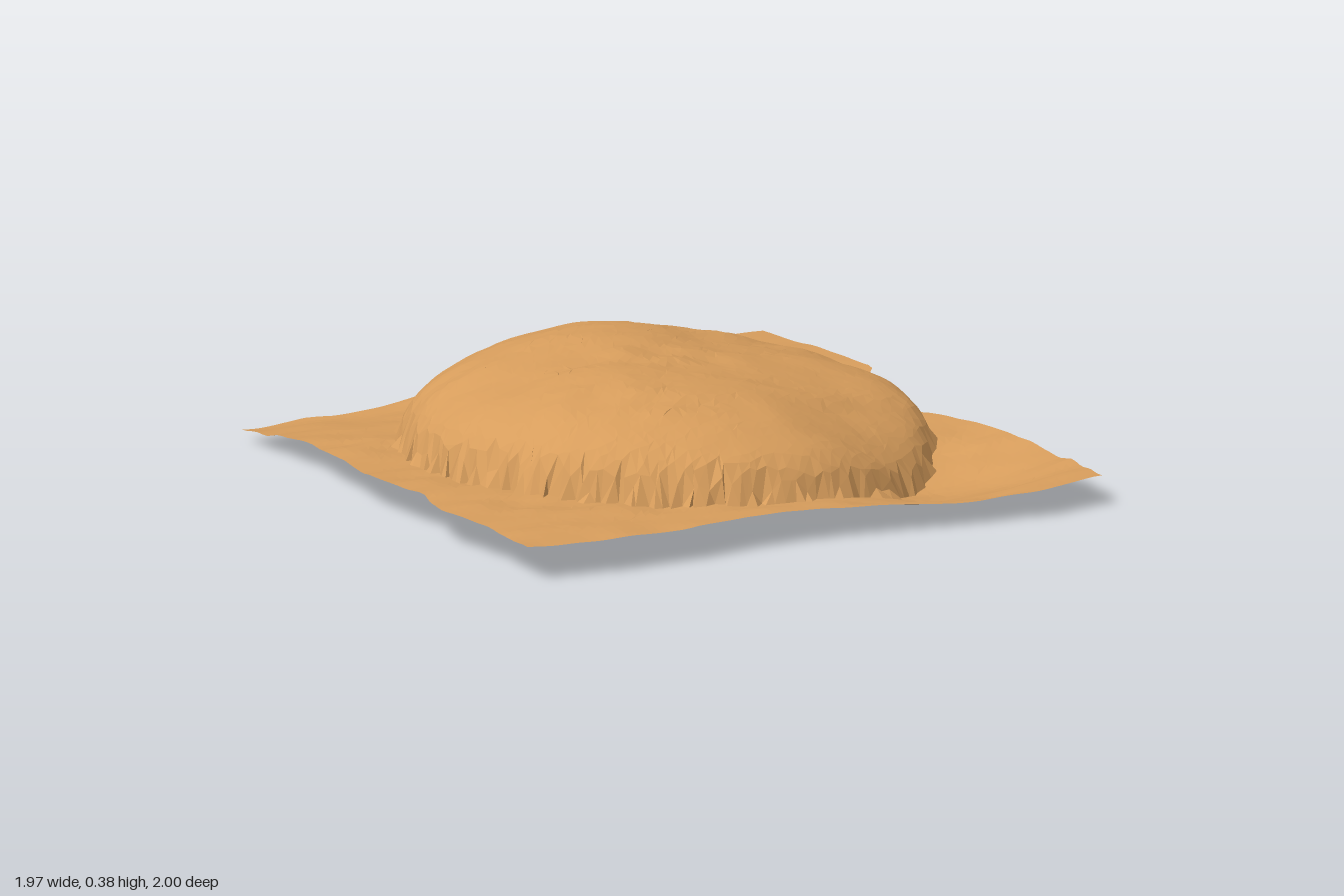
import * as THREE from 'three';

const CELLS = 64;
const DOME = { x: 0.01, z: -0.005, radius: 0.79 };

// Sheet outline: [position along the edge, offset of the edge]
const BACK = [[-0.95, -0.875], [-0.76, -0.91], [-0.66, -0.89], [-0.4, -0.89], [-0.1, -0.94], [0.2, -0.96], [0.5, -1], [0.92, -0.93]];
const FRONT = [[-0.95, 0.95], [-0.7, 0.97], [-0.45, 0.965], [-0.2, 0.93], [0, 0.92], [0.2, 0.94], [0.47, 0.975], [0.76, 0.995], [0.97, 0.96]];
const LEFT = [[-0.87, -0.95], [-0.5, -0.935], [0, -0.98], [0.3, -0.95], [0.45, -0.99], [0.7, -0.95], [0.95, -0.95]];
const RIGHT = [[-0.93, 0.82], [-0.68, 0.91], [-0.5, 0.965], [-0.35, 0.88], [-0.1, 0.82], [0.05, 0.845], [0.2, 0.925], [0.5, 0.98], [0.7, 0.99], [0.95, 0.97]];

// Linear look-up in an edge table
function edgeAt(table, t) {
  if (t <= table[0][0]) return table[0][1];
  for (let i = 1; i < table.length; i++) {
    const [t0, a] = table[i - 1], [t1, b] = table[i];
    if (t <= t1) return a + (b - a) * (t - t0) / (t1 - t0);
  }
  return table[table.length - 1][1];
}

// Repeatable value noise in the range -1 to 1
function hash(i, j) {
  const s = Math.sin(i * 127.1 + j * 311.7) * 43758.5453;
  return (s - Math.floor(s)) * 2 - 1;
}
function noise(x, z) {
  const i = Math.floor(x), j = Math.floor(z);
  const u = THREE.MathUtils.smoothstep(x - i, 0, 1), v = THREE.MathUtils.smoothstep(z - j, 0, 1);
  const { lerp } = THREE.MathUtils;
  return lerp(lerp(hash(i, j), hash(i + 1, j), u), lerp(hash(i, j + 1), hash(i + 1, j + 1), u), v);
}

const bump = (x, z, cx, cz, size) => Math.exp(-((x - cx) ** 2 + (z - cz) ** 2) / (size * size));

// Gently warped ground sheet
function sheetHeight(x, z) {
  return 0.11
    - 0.1 * bump(x, z, 0.56, 0.6, 0.33)
    - 0.055 * bump(x, z, -0.95, -0.88, 0.3)
    - 0.05 * bump(x, z, -0.5, -0.88, 0.3)
    - 0.03 * bump(x, z, 0.85, -0.25, 0.35)
    + 0.015 * bump(x, z, 0.44, -1, 0.4)
    + 0.015 * bump(x, z, -0.8, 0.5, 0.5)
    + 0.006 * noise(x * 8, z * 15);
}

// Domed mound with a steep rim and a lumpy top
function domeHeight(x, z) {
  const dx = x - DOME.x, dz = z - DOME.z;
  const r = Math.hypot(dx, dz) / DOME.radius;
  if (r >= 1) return 0;
  const crown = 0.225 + 0.06 * r * r - 0.04 * x
    + 0.06 * bump(x, z, -0.1, -0.36, 0.4)
    + 0.03 * bump(x, z, -0.12, 0.38, 0.35)
    + 0.009 * noise(x * 3 + 9, z * 9 + 4)
    + 0.004 * noise(x * 9, z * 22);
  return crown * (1 - r * r) ** 0.45;
}

function buildTerrain() {
  const geometry = new THREE.PlaneGeometry(2, 2, CELLS, CELLS).rotateX(-Math.PI / 2);
  const pos = geometry.attributes.position;
  for (let i = 0; i < pos.count; i++) {
    const u = (pos.getX(i) + 1) / 2, v = (pos.getZ(i) + 1) / 2;
    const along = u * 2 - 1;
    // Fit the grid to the ragged outline
    let z = THREE.MathUtils.lerp(edgeAt(BACK, along), edgeAt(FRONT, along), v);
    let x = THREE.MathUtils.lerp(edgeAt(LEFT, z), edgeAt(RIGHT, z), u);
    // Scatter inner points for an irregular rim, ripple the outer ones
    const scatter = 0.012 * Math.min(1, 10 * Math.min(u, 1 - u, v, 1 - v));
    x += 0.006 * noise(x * 14 + 31, z * 14) + scatter * hash(i, 1);
    z += 0.006 * noise(x * 14, z * 14 + 57) + scatter * hash(i, 2);
    pos.setXYZ(i, x, sheetHeight(x, z) + domeHeight(x, z), z);
  }
  // Rest the lowest point on the ground
  geometry.computeBoundingBox();
  geometry.translate(0, -geometry.boundingBox.min.y, 0);
  geometry.computeVertexNormals();
  return geometry;
}

export function createModel() {
  const group = new THREE.Group();
  group.name = 'sandMound';
  const material = new THREE.MeshStandardMaterial({ color: 0xd79d5c, flatShading: true, side: THREE.DoubleSide });
  const mound = new THREE.Mesh(buildTerrain(), material);
  mound.name = 'moundSheet';
  group.add(mound);
  return group;
}
